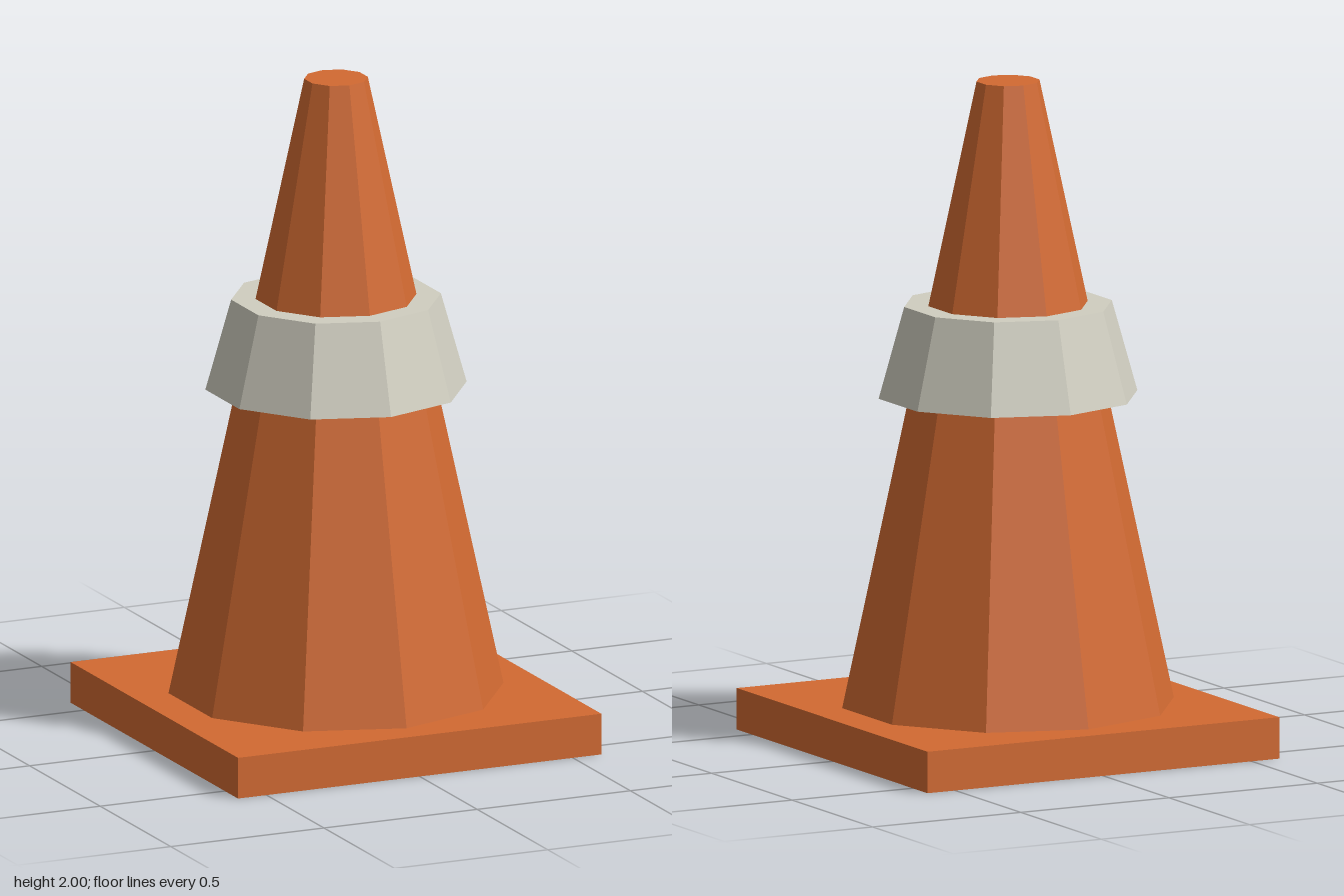
import * as THREE from 'three';

export function createModel() {
  const group = new THREE.Group();
  group.name = 'trafficCone';

  const orange = new THREE.MeshStandardMaterial({ color: 0xd26a32, flatShading: true });
  orange.name = 'orange';
  const paleGrey = new THREE.MeshStandardMaterial({ color: 0xd0cec0, flatShading: true });
  paleGrey.name = 'paleGrey';

  const SIDES = 10;
  const add = (name, geometry, material, y) => {
    const mesh = new THREE.Mesh(geometry, material);
    mesh.name = name;
    mesh.position.y = y;
    group.add(mesh);
  };
  // Ten-sided frustum between two heights, with a corner facing +z
  const frustum = (rTop, rBottom, y0, y1) =>
    new THREE.CylinderGeometry(rTop, rBottom, y1 - y0, SIDES);

  // Square foot
  add('base', new THREE.BoxGeometry(1.186, 0.125, 1.186), orange, 0.0625);

  // Tapered body
  add('coneBody', frustum(0.095, 0.5, 0.125, 2), orange, (0.125 + 2) / 2);

  // Reflective collar standing proud of the body
  add('collar', frustum(0.313, 0.39, 1.054, 1.328), paleGrey, (1.054 + 1.328) / 2);

  return group;
}
